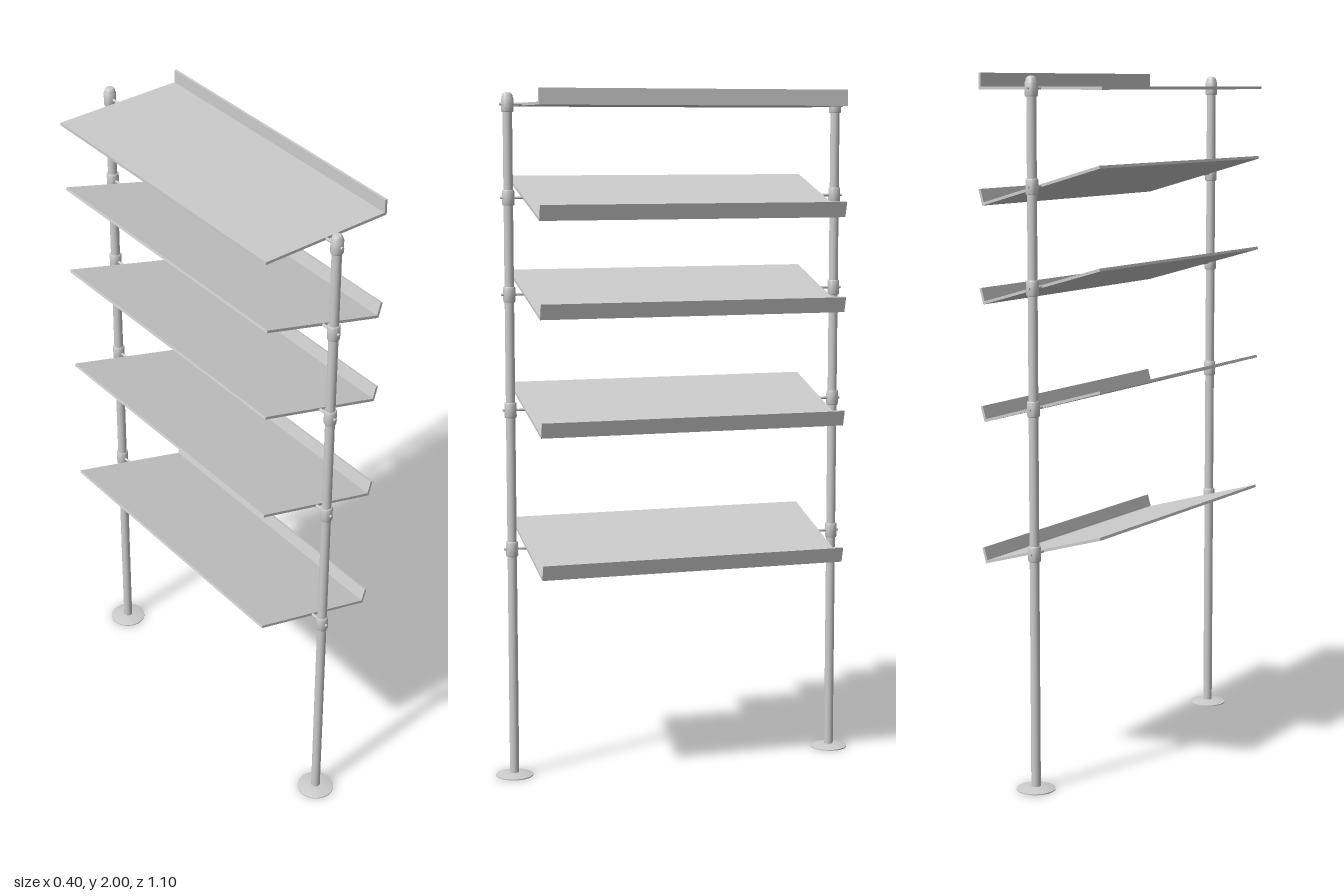
import * as THREE from 'three';
import { toCreasedNormals } from 'three/addons/utils/BufferGeometryUtils.js';

const POST_X = -0.004, POST_Z = 0.497, SHELF_HALF = 0.455;
const TILT = -0.278;
// height of each shelf pivot and its tilt
const SHELVES = [[0.68, TILT], [1.087, TILT], [1.42, TILT], [1.695, TILT], [1.958, 0]];

export function createModel() {
  const model = new THREE.Group();
  const material = new THREE.MeshStandardMaterial({ color: 0xcccccc });

  const add = (parent, name, geometry, x = 0, y = 0, z = 0) => {
    const mesh = new THREE.Mesh(geometry, material);
    mesh.name = name;
    mesh.position.set(x, y, z);
    parent.add(mesh);
    return mesh;
  };
  const lathe = (points) => toCreasedNormals(
    new THREE.LatheGeometry(points.map(([r, y]) => new THREE.Vector2(r, y)), 32), 0.5);

  // Shelf: flat tray bent up into a lip along one long edge
  const t = 0.004;
  const profile = new THREE.Shape([
    [-0.2, -t], [0.2, -t], [0.2, 0.042], [0.193, 0.042], [0.193, t], [-0.2, t],
  ].map(([x, y]) => new THREE.Vector2(x, y)));
  const shelfGeo = new THREE.ExtrudeGeometry(profile, { depth: SHELF_HALF * 2, bevelEnabled: false });
  shelfGeo.translate(0, 0, -SHELF_HALF);

  // Post parts
  const postGeo = new THREE.CylinderGeometry(0.0135, 0.0135, 1.96, 32);
  const footGeo = lathe([[0, 0], [0.055, 0], [0.055, 0.003], [0.035, 0.008], [0.016, 0.01], [0, 0.01]]);
  const collarGeo = lathe([
    [0.0135, -0.022], [0.016, -0.022], [0.0175, -0.019],
    [0.0175, 0.019], [0.016, 0.022], [0.0135, 0.022],
  ]);
  const capGeo = lathe([
    [0.0135, -0.022], [0.016, -0.022], [0.0175, -0.019], [0.0175, 0.016],
    [0.0155, 0.02], [0.0145, 0.026], [0.011, 0.031], [0.006, 0.033], [0, 0.034],
  ]);
  const pinGeo = new THREE.CylinderGeometry(0.004, 0.004, 0.072, 16).rotateX(Math.PI / 2);

  // Two posts, each with a foot, collars and pivot pins
  for (const side of [1, -1]) {
    const post = new THREE.Group();
    post.name = side > 0 ? 'frontPost' : 'backPost';
    post.position.set(POST_X, 0, side * POST_Z);
    add(post, 'pole', postGeo, 0, 0.985, 0);
    add(post, 'foot', footGeo);
    SHELVES.forEach(([y], i) => {
      const top = i === SHELVES.length - 1;
      add(post, top ? 'capCollar' : 'collar', top ? capGeo : collarGeo, 0, y, 0);
      add(post, 'pivotPin', pinGeo, 0, y, side * -0.013);
    });
    model.add(post);
  }

  // Shelves hung between the posts
  for (const [y, tilt] of SHELVES) {
    add(model, 'shelf', shelfGeo, POST_X + 0.003, y, 0).rotation.z = tilt;
  }
  return model;
}
